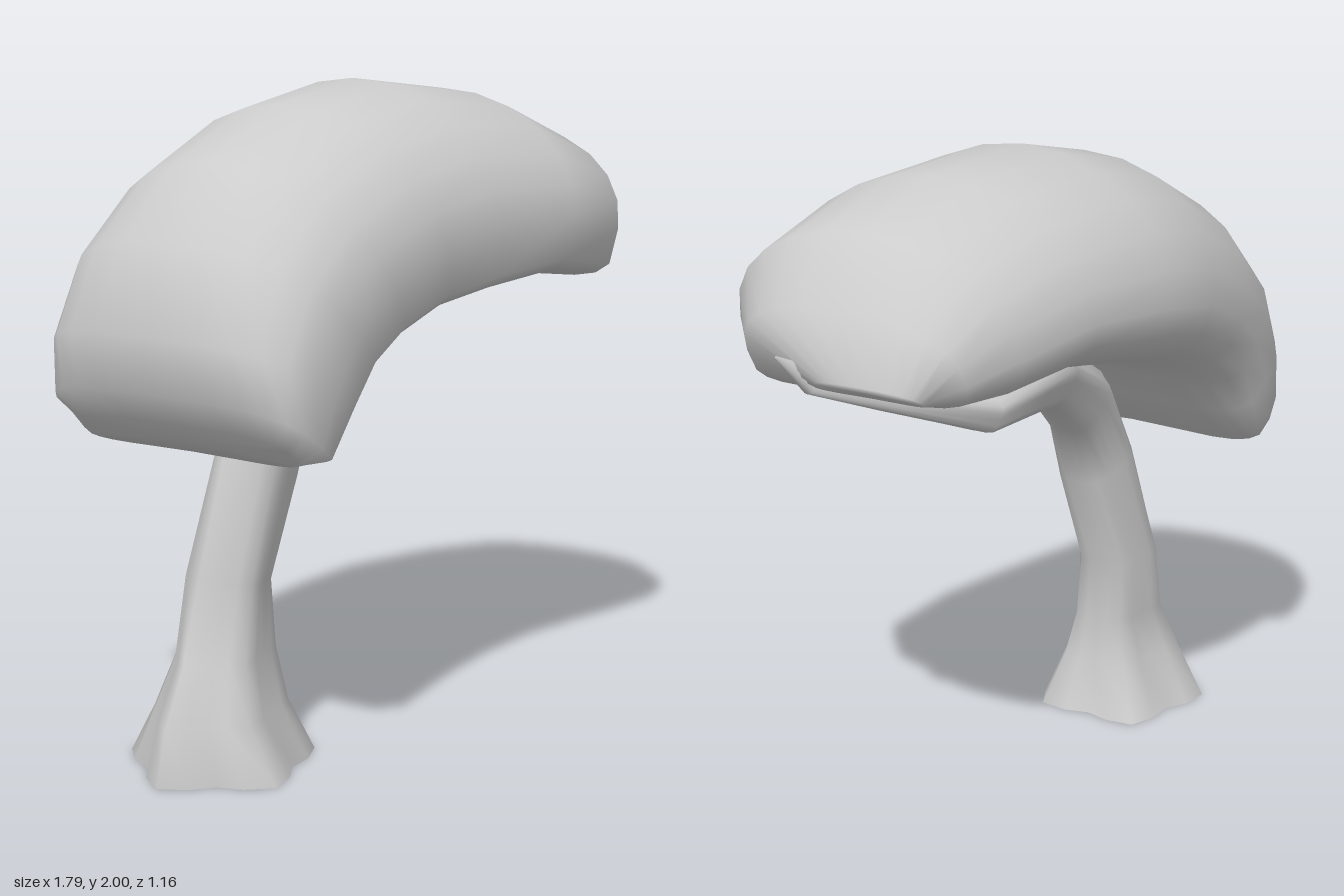
import * as THREE from 'three';

const material = new THREE.MeshStandardMaterial({ color: 0xcccccc });
const openMaterial = new THREE.MeshStandardMaterial({ color: 0xcccccc, side: THREE.DoubleSide });

// Smooth skin over a row of rings, fanned shut at the listed ends
function loft(name, rings, closedEnds, mat) {
  const n = rings[0].length, last = rings.length - 1;
  const pos = [], idx = [];
  rings.forEach(r => r.forEach(p => pos.push(p.x, p.y, p.z)));
  for (let i = 0; i < last; i++) {
    for (let j = 0; j < n; j++) {
      const a = i * n + j, b = i * n + (j + 1) % n;
      idx.push(a, b, a + n, b, b + n, a + n);
    }
  }
  for (const end of closedEnds) {
    const row = end === 'start' ? 0 : last;
    const c = new THREE.Vector3();
    rings[row].forEach(p => c.addScaledVector(p, 1 / n));
    const hub = pos.length / 3;
    pos.push(c.x, c.y, c.z);
    for (let j = 0; j < n; j++) {
      const a = row * n + j, b = row * n + (j + 1) % n;
      if (end === 'start') idx.push(hub, b, a);
      else idx.push(hub, a, b);
    }
  }
  const g = new THREE.BufferGeometry();
  g.setAttribute('position', new THREE.Float32BufferAttribute(pos, 3));
  g.setIndex(idx);
  g.computeVertexNormals();
  const mesh = new THREE.Mesh(g, mat);
  mesh.name = name;
  return mesh;
}

// Canopy: sections along a drooping arc
// [top x, top y, rim x, rim y, back z, front z, squareness, softness of the back rim]
function canopy() {
  const stations = [
    [-0.80, 1.06, -0.70, 0.955, -0.46, 0.32, 3.0, 0.45],
    [-0.86, 1.15, -0.60, 0.955, -0.55, 0.385, 3.2, 0.45],
    [-0.90, 1.32, -0.47, 1.08, -0.56, 0.39, 2.9, 0.5],
    [-0.81, 1.57, -0.38, 1.17, -0.57, 0.40, 2.4, 0.65],
    [-0.60, 1.78, -0.25, 1.23, -0.58, 0.41, 2.1, 0.8],
    [-0.30, 1.93, -0.08, 1.29, -0.58, 0.44, 2.0, 0.85],
    [0.03, 2.00, 0.10, 1.32, -0.56, 0.49, 1.95, 0.85],
    [0.40, 1.96, 0.33, 1.36, -0.47, 0.56, 1.95, 0.85],
    [0.67, 1.84, 0.56, 1.34, -0.37, 0.58, 2.1, 0.8],
    [0.82, 1.66, 0.70, 1.37, -0.28, 0.45, 2.4, 0.7],
    [0.89, 1.48, 0.80, 1.42, -0.20, 0.15, 2.4, 0.6],
  ];
  const sides = 24, widest = 0.38;
  const rings = stations.map(([tx, ty, bx, by, zb, zf, k, soft]) => {
    const ring = [];
    for (let j = 0; j < sides; j++) {
      const a = j / sides * Math.PI * 2, s = Math.sin(a), c = Math.cos(a);
      const w = Math.sign(s) * Math.abs(s) ** (2 / k);
      // Rounded dome above the widest line; below it a tight front rim, a soft back rim
      const h = c > 0
        ? widest + (1 - widest) * c ** (2 / k)
        : widest * (1 - Math.abs(c) ** (w < 0 ? soft : 0.4)) + 0.1 * (1 - w * w) ** 2;
      ring.push(new THREE.Vector3(
        bx + (tx - bx) * h,
        by + (ty - by) * h,
        (zb + zf) / 2 + w * (zf - zb) / 2));
    }
    return ring;
  });
  return loft('canopy', rings, ['start', 'end'], material);
}

// Trunk: open at the root, fluted and flared, bending over into a thin branch
// [x, y, z, half thickness, half depth, lean in degrees, flute depth]
function trunk() {
  const stations = [
    [-0.59, 0.00, -0.075, 0.275, 0.27, 0, 0.12],
    [-0.615, 0.17, -0.065, 0.227, 0.18, 0, 0.10],
    [-0.575, 0.33, -0.075, 0.176, 0.13, 0, 0.09],
    [-0.537, 0.55, -0.085, 0.133, 0.125, 8, 0.06],
    [-0.46, 0.88, -0.04, 0.15, 0.112, 18, 0.05],
    [-0.34, 1.11, -0.04, 0.13, 0.10, 40, 0.06],
    [-0.03, 1.285, -0.11, 0.095, 0.085, 62, 0.08],
    [0.20, 1.31, -0.15, 0.075, 0.075, 82, 0.08],
    [0.47, 1.32, -0.16, 0.065, 0.07, 80, 0.08],
    [0.67, 1.385, 0.04, 0.04, 0.06, 65, 0],
    [0.79, 1.44, 0.20, 0.04, 0.03, 60, 0],
    [0.888, 1.525, 0.245, 0.004, 0.004, 60, 0],
  ];
  const sides = 20;
  const rings = stations.map(([x, y, z, rn, rz, lean, flute]) => {
    const t = THREE.MathUtils.degToRad(lean), ring = [];
    for (let j = 0; j < sides; j++) {
      const a = j / sides * Math.PI * 2;
      const r = 1 + flute * (Math.cos(a * 5) - 0.4);
      const d = Math.cos(a) * r * rn;
      ring.push(new THREE.Vector3(
        x - d * Math.cos(t), y + d * Math.sin(t), z + Math.sin(a) * r * rz));
    }
    return ring;
  });
  return loft('trunk', rings, ['end'], openMaterial);
}

export function createModel() {
  const tree = new THREE.Group();
  tree.name = 'bentTree';
  tree.add(canopy(), trunk());
  return tree;
}
